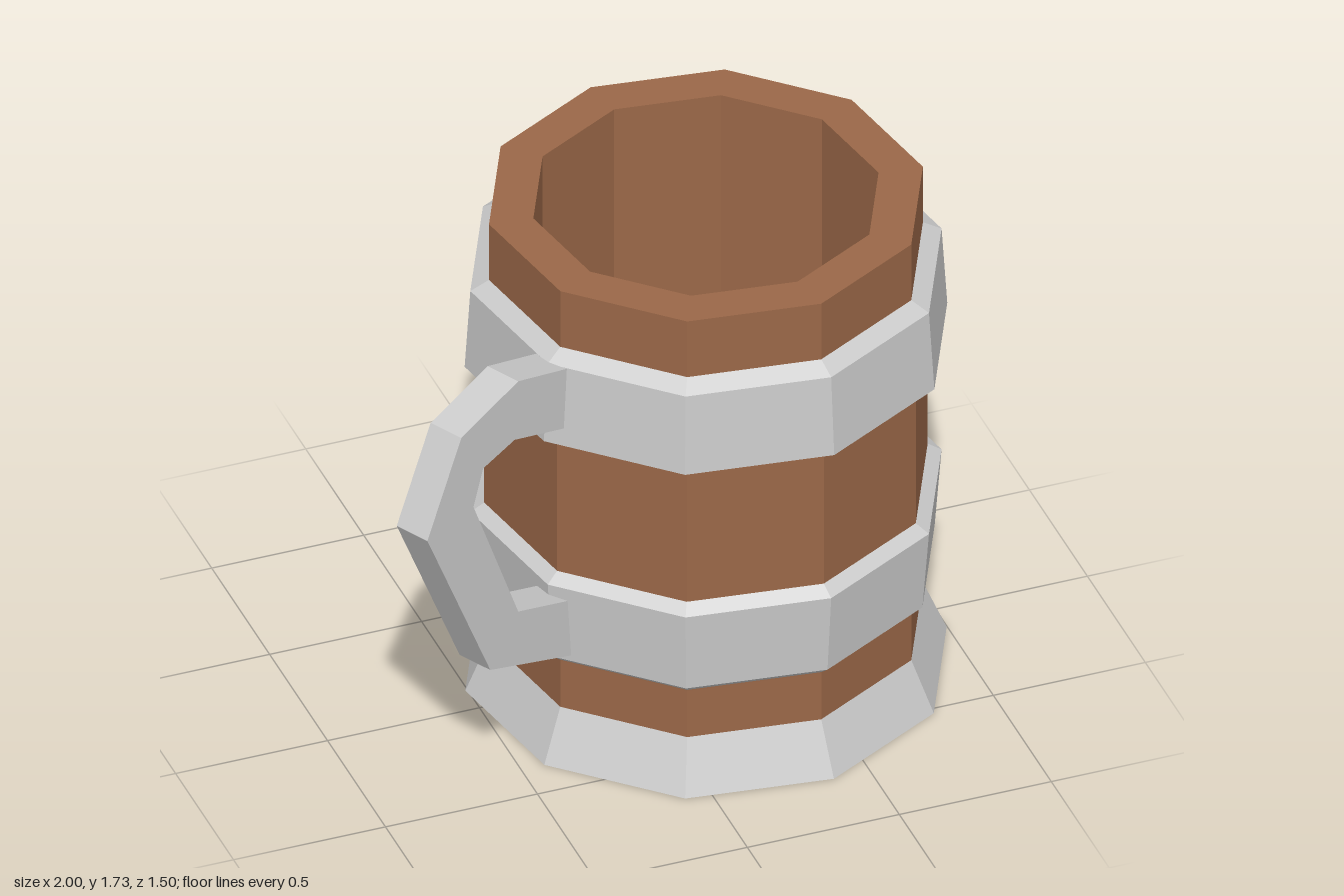
import * as THREE from 'three';

const SIDES = 10;
const PHASE = THREE.MathUtils.degToRad(10.3);
const wood = new THREE.MeshStandardMaterial({ color: 0x9b6848, flatShading: true });
const metal = new THREE.MeshStandardMaterial({ color: 0xcccccc, flatShading: true });

// Ten-sided turned part from [radius, height] pairs, listed from the bottom up the outside
function turned(name, profile, material) {
  const points = profile.map(([r, y]) => new THREE.Vector2(r, y));
  const mesh = new THREE.Mesh(new THREE.LatheGeometry(points, SIDES, PHASE), material);
  mesh.name = name;
  return mesh;
}

export function createModel() {
  const mug = new THREE.Group();
  mug.name = 'mug';
  mug.position.x = 0.245;

  // Wooden staves, rim, hollow and inner floor
  mug.add(turned('woodenBody', [
    [0.685, 0.17], [0.685, 0.35], [0.7, 0.69], [0.7, 1.18], [0.685, 1.52],
    [0.685, 1.73], [0.545, 1.73], [0.545, 0.2], [0, 0.2],
  ], wood));

  // Flared metal foot with a closed underside
  mug.add(turned('foot', [[0, 0], [0.76, 0], [0.685, 0.178]], metal));

  // Bevelled metal hoops
  mug.add(turned('lowerBand', [[0.68, 0.35], [0.722, 0.385], [0.744, 0.665], [0.69, 0.7]], metal));
  mug.add(turned('upperBand', [[0.69, 1.17], [0.762, 1.21], [0.744, 1.49], [0.68, 1.525]], metal));

  // Angular handle, x measured outward from the mug's axis
  const outline = [
    [0.68, 1.474], [0.952, 1.56], [1.219, 1.487], [1.378, 1.185], [1.083, 0.55], [0.68, 0.398],
    [0.68, 0.605], [0.952, 0.7], [1.162, 1.2], [1.117, 1.32], [0.969, 1.35], [0.68, 1.253],
  ].map(([x, y]) => new THREE.Vector2(x, y));
  const width = 0.125;
  const geometry = new THREE.ExtrudeGeometry(new THREE.Shape(outline), { depth: width, bevelEnabled: false });
  geometry.translate(0, 0, -width / 2);
  const handle = new THREE.Mesh(geometry, metal);
  handle.name = 'handle';
  handle.rotation.y = Math.PI + 0.4915;
  mug.add(handle);

  const model = new THREE.Group();
  model.add(mug);
  return model;
}
